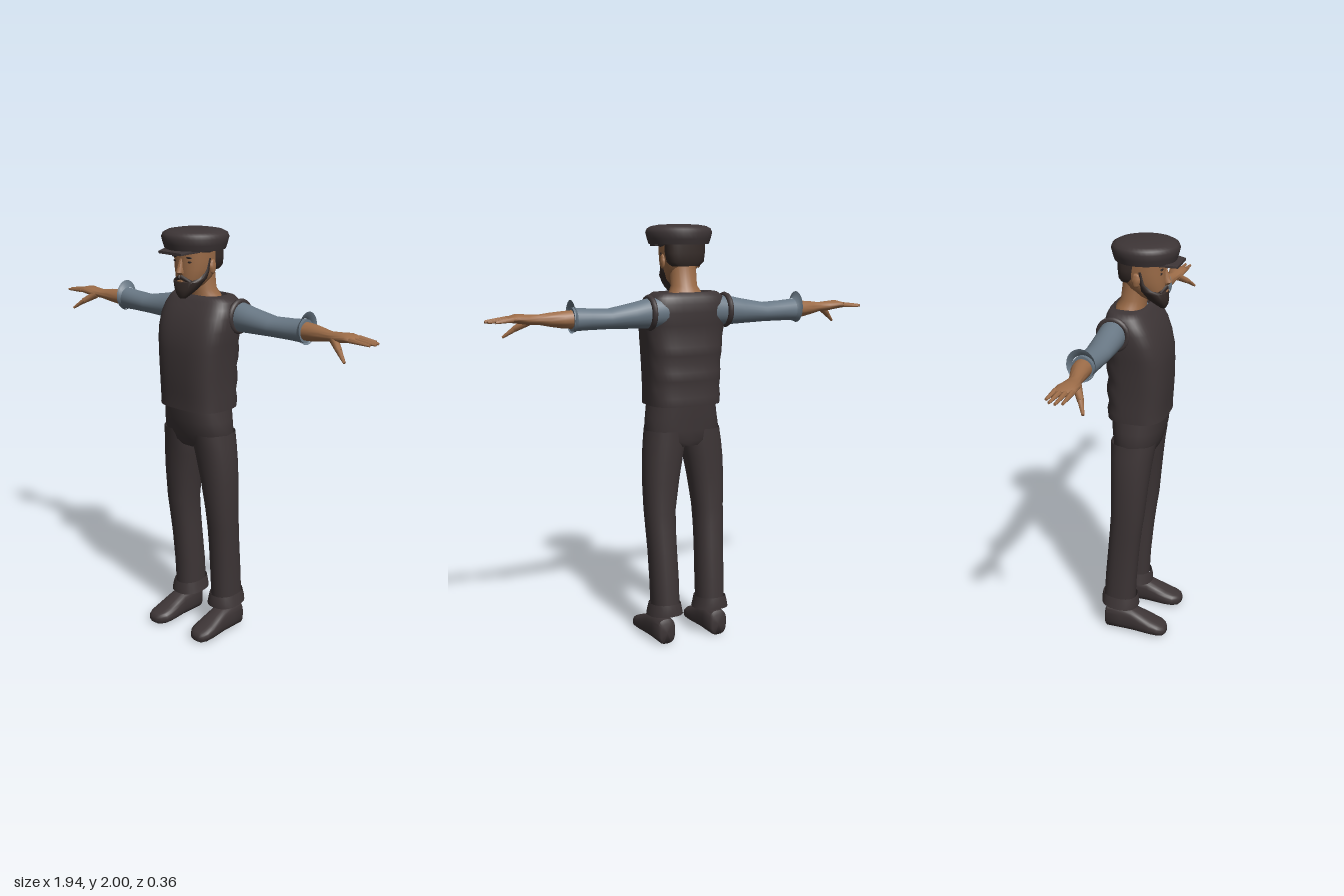
import * as THREE from 'three';
import { toCreasedNormals } from 'three/addons/utils/BufferGeometryUtils.js';

const mat = (name, color, side = THREE.FrontSide) => {
  const m = new THREE.MeshStandardMaterial({ color, side });
  m.name = name;
  return m;
};

// Skin through rings along an axis: [t, uMin, uMax, vMin, vMax].
// Axis y uses (x, z), axis x uses (y, z), axis z uses (x, y). t must rise.
function loft(axis, rings, { n = 24, power = 2, open = false } = {}) {
  const pos = [], idx = [];
  const put = (t, u, v) => {
    if (axis === 'y') pos.push(u, t, v);
    else if (axis === 'x') pos.push(t, u, v);
    else pos.push(u, v, t);
  };
  const bend = (c) => Math.sign(c) * Math.abs(c) ** (2 / power);
  for (const [t, u0, u1, v0, v1] of rings) {
    for (let j = 0; j < n; j++) {
      const a = (j / n) * Math.PI * 2;
      const c = bend(Math.cos(a)), s = bend(Math.sin(a));
      const [cu, cv] = axis === 'y' ? [s, c] : [c, s];
      put(t, (u0 + u1) / 2 + cu * (u1 - u0) / 2, (v0 + v1) / 2 + cv * (v1 - v0) / 2);
    }
  }
  for (let i = 0; i < rings.length - 1; i++) {
    for (let j = 0; j < n; j++) {
      const k = (j + 1) % n, a = i * n + j, b = i * n + k;
      idx.push(a, b, a + n, b, b + n, a + n);
    }
  }
  if (!open) {
    const last = (rings.length - 1) * n, c0 = rings.length * n;
    for (const r of [rings[0], rings[rings.length - 1]]) put(r[0], (r[1] + r[2]) / 2, (r[3] + r[4]) / 2);
    for (let j = 0; j < n; j++) {
      const k = (j + 1) % n;
      idx.push(c0, k, j, c0 + 1, last + j, last + k);
    }
  }
  const g = new THREE.BufferGeometry();
  g.setAttribute('position', new THREE.Float32BufferAttribute(pos, 3));
  g.setIndex(idx);
  return g;
}

// Tapered rod between two points
function rod(a, b, r0, r1) {
  const A = new THREE.Vector3(...a), B = new THREE.Vector3(...b), d = B.clone().sub(A);
  const g = new THREE.CylinderGeometry(r1, r0, d.length(), 8, 1);
  g.applyQuaternion(new THREE.Quaternion().setFromUnitVectors(new THREE.Vector3(0, 1, 0), d.normalize()));
  const c = A.add(B).multiplyScalar(0.5);
  return g.translate(c.x, c.y, c.z);
}

const ball = (x, y, z, rx, ry, rz) =>
  new THREE.SphereGeometry(1, 16, 10).scale(rx, ry, rz).translate(x, y, z);

// Mirror across x = 0, keeping faces outward
function mirrored(g) {
  const m = g.clone().scale(-1, 1, 1), p = m.attributes.position;
  for (let i = 0; i < p.count; i += 3) {
    const b = new THREE.Vector3().fromBufferAttribute(p, i + 1);
    const c = new THREE.Vector3().fromBufferAttribute(p, i + 2);
    p.setXYZ(i + 1, c.x, c.y, c.z);
    p.setXYZ(i + 2, b.x, b.y, b.z);
  }
  return m;
}

export function createModel() {
  const root = new THREE.Group();
  root.name = 'standingMan';
  const cloth = mat('darkCloth', 0x3d3536, THREE.DoubleSide);
  const shirt = mat('blueShirt', 0x697885, THREE.DoubleSide);
  const skin = mat('skin', 0x9c6c48);
  const hair = mat('darkHair', 0x352b28);

  const add = (name, geo, material, pair = false) => {
    const g = geo.index ? geo.toNonIndexed() : geo;
    for (const [label, h] of pair ? [['left', g], ['right', mirrored(g)]] : [['', g]]) {
      const mesh = new THREE.Mesh(toCreasedNormals(h, 0.95), material);
      mesh.name = label ? label + name[0].toUpperCase() + name.slice(1) : name;
      root.add(mesh);
    }
  };

  // Vest, with soft folds across the back
  const vest = loft('y', [
    [1.16, -0.18, 0.18, -0.155, 0.12], [1.2, -0.18, 0.18, -0.16, 0.12],
    [1.24, -0.18, 0.18, -0.16, 0.123], [1.28, -0.18, 0.18, -0.16, 0.125],
    [1.32, -0.182, 0.182, -0.16, 0.127], [1.36, -0.184, 0.184, -0.16, 0.127],
    [1.4, -0.187, 0.187, -0.16, 0.127], [1.44, -0.19, 0.19, -0.16, 0.125],
    [1.48, -0.195, 0.195, -0.16, 0.122], [1.54, -0.202, 0.202, -0.16, 0.108],
    [1.6, -0.203, 0.203, -0.165, 0.086], [1.64, -0.197, 0.197, -0.163, 0.062],
    [1.67, -0.183, 0.183, -0.155, 0.04], [1.69, -0.155, 0.155, -0.145, 0.025],
    [1.692, -0.11, 0.11, -0.135, 0.012], [1.665, -0.09, 0.09, -0.125, 0.01],
  ], { n: 40, power: 3, open: true });
  const vp = vest.attributes.position;
  for (let i = 0; i < vp.count; i++) {
    if (vp.getZ(i) < -0.1 && vp.getY(i) < 1.5) vp.setZ(i, vp.getZ(i) + 0.006 * Math.sin(vp.getY(i) * 52));
  }
  add('vest', vest, cloth);
  add('armholeEdge', new THREE.TorusGeometry(0.068, 0.014, 8, 24).rotateY(Math.PI / 2)
    .scale(1, 1.02, 1).translate(0.196, 1.602, -0.09), cloth, true);
  add('shirtCollar', loft('y', [[1.63, -0.12, 0.12, -0.14, 0.05], [1.665, -0.11, 0.11, -0.13, 0.035],
    [1.68, -0.075, 0.075, -0.12, 0.005]]), shirt);

  // Sleeves and turned-back cuffs
  add('sleeve', loft('x', [
    [0.12, 1.53, 1.675, -0.155, -0.03], [0.2, 1.53, 1.67, -0.155, -0.03],
    [0.28, 1.533, 1.652, -0.153, -0.03], [0.4, 1.537, 1.63, -0.15, -0.035],
    [0.5, 1.537, 1.635, -0.148, -0.043], [0.58, 1.535, 1.642, -0.146, -0.048],
  ]), shirt, true);
  add('sleeveCuff', loft('x', [[0.565, 1.533, 1.643, -0.15, -0.044], [0.578, 1.53, 1.655, -0.158, -0.04],
    [0.584, 1.526, 1.676, -0.168, -0.036]], { open: true }), shirt, true);

  // Forearms, palms and fingers
  add('forearmAndPalm', loft('x', [
    [0.55, 1.545, 1.632, -0.14, -0.055], [0.62, 1.55, 1.628, -0.135, -0.053],
    [0.68, 1.56, 1.622, -0.117, -0.05], [0.73, 1.57, 1.615, -0.103, -0.047],
    [0.78, 1.572, 1.618, -0.112, -0.032], [0.83, 1.58, 1.622, -0.12, -0.027],
    [0.865, 1.585, 1.612, -0.12, -0.03], [0.875, 1.59, 1.606, -0.115, -0.035],
  ]), skin, true);
  const tips = [[0.935, -0.121], [0.963, -0.098], [0.97, -0.07], [0.958, -0.042]];
  tips.forEach(([x, z], i) => add('finger' + (i + 1),
    rod([0.855, 1.6, -0.11 + i * 0.024], [x, 1.592, z], 0.012, 0.006), skin, true));
  add('thumbBase', rod([0.76, 1.588, -0.055], [0.82, 1.55, -0.018], 0.02, 0.014), skin, true);
  add('thumbTip', rod([0.815, 1.553, -0.02], [0.868, 1.512, 0.008], 0.014, 0.006), skin, true);

  // Trousers
  add('trouserSeat', loft('y', [
    [0.965, -0.1, 0.1, -0.125, 0.055], [0.99, -0.17, 0.17, -0.135, 0.072],
    [1.04, -0.186, 0.186, -0.138, 0.088], [1.1, -0.177, 0.177, -0.145, 0.105], [1.18, -0.165, 0.165, -0.15, 0.115],
  ], { power: 2.4 }), cloth);
  add('trouserLeg', loft('y', [
    [0.17, 0.056, 0.188, -0.172, -0.015], [0.3, 0.055, 0.19, -0.163, -0.008],
    [0.45, 0.058, 0.193, -0.148, 0.006], [0.55, 0.058, 0.198, -0.138, 0.018],
    [0.65, 0.055, 0.202, -0.13, 0.033], [0.8, 0.032, 0.206, -0.13, 0.048],
    [0.9, 0.013, 0.202, -0.132, 0.06], [0.97, 0, 0.195, -0.134, 0.07], [1.04, 0, 0.184, -0.135, 0.082],
  ], { power: 2.3, open: true }), cloth, true);
  const cuff = loft('y', [[0.13, 0.038, 0.208, -0.184, 0.003], [0.155, 0.044, 0.203, -0.184, 0.002],
    [0.188, 0.05, 0.195, -0.178, -0.005]], { power: 2.3, open: true });
  const cp = cuff.attributes.position;
  for (let i = 0; i < cp.count; i++) cp.setY(i, cp.getY(i) - (cp.getZ(i) + 0.03) * 0.09);
  add('trouserCuff', cuff, cloth, true);

  // Shoes
  add('shoe', loft('z', [
    [-0.16, 0.105, 0.175, 0.008, 0.105], [-0.15, 0.094, 0.186, 0, 0.125],
    [-0.08, 0.09, 0.19, 0, 0.13], [-0.02, 0.088, 0.193, 0, 0.122], [0.03, 0.083, 0.198, 0, 0.1],
    [0.08, 0.08, 0.202, 0, 0.077], [0.12, 0.085, 0.2, 0, 0.063],
    [0.145, 0.103, 0.188, 0.002, 0.053], [0.157, 0.125, 0.168, 0.01, 0.038],
  ], { power: 2.8 }), cloth, true);

  // Neck and head
  add('neck', loft('y', [[1.65, -0.095, 0.095, -0.145, 0.005], [1.69, -0.078, 0.078, -0.132, 0.005],
    [1.72, -0.062, 0.062, -0.112, 0.01], [1.82, -0.062, 0.062, -0.1, 0.03]]), skin);
  add('head', loft('y', [
    [1.71, -0.025, 0.025, 0.04, 0.085], [1.745, -0.056, 0.056, -0.03, 0.094],
    [1.78, -0.076, 0.076, -0.075, 0.098], [1.82, -0.087, 0.087, -0.1, 0.1],
    [1.86, -0.092, 0.092, -0.11, 0.1], [1.92, -0.094, 0.094, -0.112, 0.103],
  ], { n: 32, power: 2.3 }), skin);
  add('nose', loft('y', [[1.795, -0.013, 0.013, 0.08, 0.112], [1.808, -0.019, 0.019, 0.08, 0.127],
    [1.83, -0.012, 0.012, 0.08, 0.118], [1.87, -0.008, 0.008, 0.08, 0.104]], { n: 10 }), skin);
  add('ear', ball(0.093, 1.83, -0.015, 0.01, 0.034, 0.02).rotateY(0), skin, true);
  add('eye', ball(0.038, 1.856, 0.091, 0.016, 0.005, 0.004).rotateY(0.03), hair, true);
  add('eyebrow', ball(0.04, 1.876, 0.092, 0.023, 0.005, 0.005), hair, true);

  // Hair, beard and moustache
  add('backHair', loft('y', [[1.81, -0.07, 0.07, -0.104, -0.03], [1.83, -0.09, 0.09, -0.113, -0.02],
    [1.87, -0.096, 0.096, -0.117, -0.008], [1.92, -0.097, 0.097, -0.117, 0.0]], { power: 2.8 }), hair);
  add('beard', loft('y', [
    [1.686, -0.016, 0.016, 0.075, 0.1], [1.705, -0.036, 0.036, 0.05, 0.109],
    [1.73, -0.056, 0.056, 0.015, 0.111], [1.762, -0.075, 0.075, -0.012, 0.106],
    [1.778, -0.084, 0.084, -0.016, 0.07], [1.81, -0.091, 0.091, -0.012, 0.035], [1.87, -0.096, 0.096, -0.012, 0.018],
  ], { power: 2.4 }), hair);
  add('moustache', rod([0, 1.787, 0.102], [0.048, 1.765, 0.083], 0.011, 0.009), hair, true);
  add('mouth', ball(0, 1.766, 0.106, 0.019, 0.005, 0.004), skin);

  // Flat cap with a short peak
  const profile = [[0.092, 1.895], [0.1, 1.908], [0.142, 1.91], [0.15, 1.935], [0.157, 1.963],
    [0.15, 1.98], [0.13, 1.991], [0.09, 1.998], [0.0, 2.0]];
  add('capCrown', new THREE.LatheGeometry(profile.map(([x, y]) => new THREE.Vector2(x, y)), 40)
    .translate(0, 0, 0.004), cloth);
  add('capPeak', loft('z', [[0.07, -0.095, 0.095, 1.9, 1.918], [0.12, -0.086, 0.086, 1.898, 1.914],
    [0.172, -0.072, 0.072, 1.894, 1.906]], { power: 8 }), cloth);

  return root;
}
